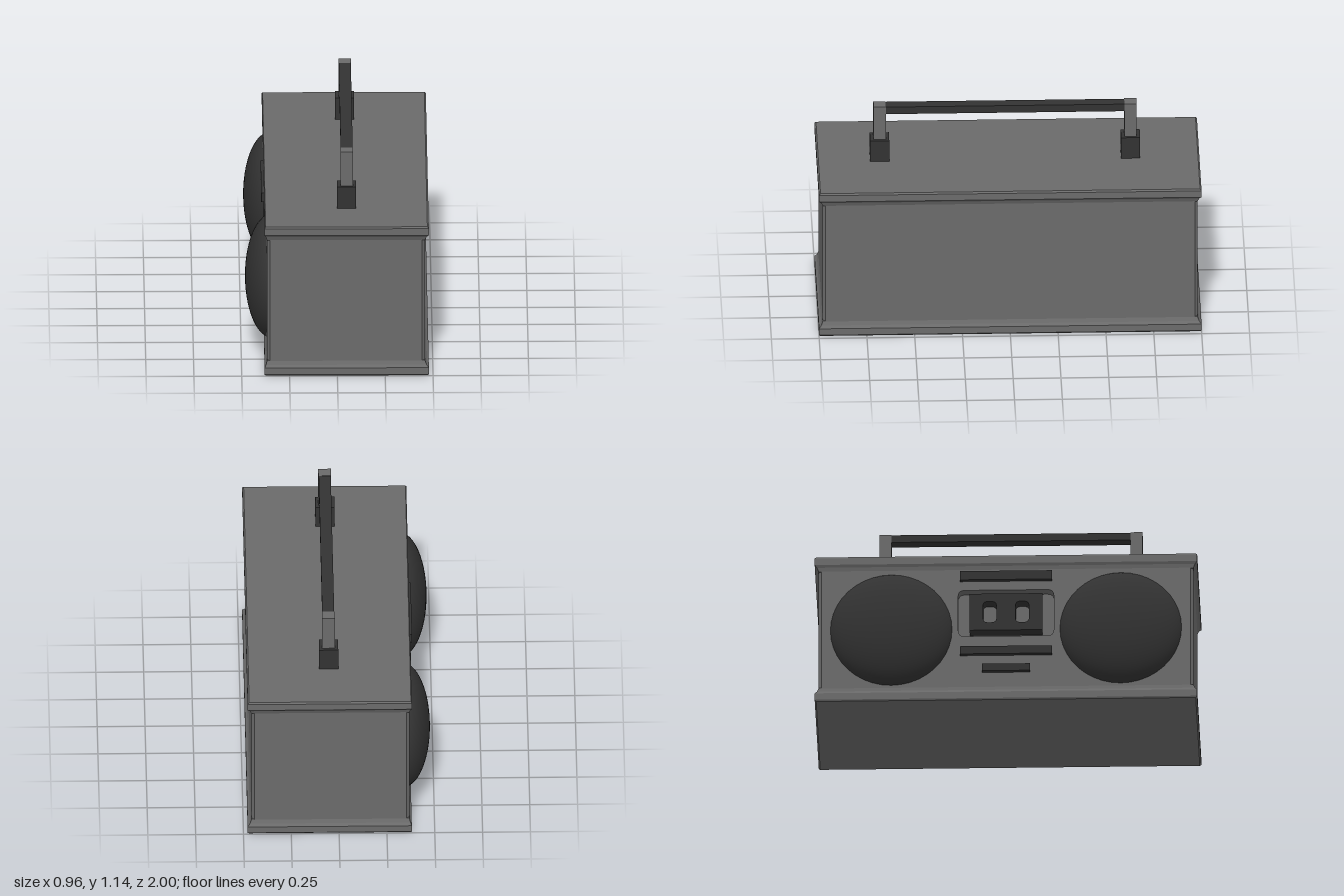
import * as THREE from 'three';

const grey = new THREE.MeshStandardMaterial({ color: 0x6a6a6a });
const dark = new THREE.MeshStandardMaterial({ color: 0x323232 });

const X0 = -0.38, X1 = 0.478, H = 0.83;
const FACE = -0.368; // speaker face of the cabinet

export function createModel() {
  const group = new THREE.Group();

  function add(name, geometry, material) {
    const mesh = new THREE.Mesh(geometry, material);
    mesh.name = name;
    group.add(mesh);
    return mesh;
  }

  // Box given by its lower and upper corners
  function box(name, material, [ax, ay, az], [bx, by, bz]) {
    const g = new THREE.BoxGeometry(bx - ax, by - ay, bz - az);
    g.translate((ax + bx) / 2, (ay + by) / 2, (az + bz) / 2);
    return add(name, g, material);
  }

  // Shape drawn in (z, y), extruded from x towards -x
  function extrudeFace(shape, x, depth) {
    const g = new THREE.ExtrudeGeometry(shape, { depth, bevelEnabled: false, curveSegments: 6 });
    return g.rotateY(-Math.PI / 2).translate(x, 0, 0);
  }

  function rect(target, a0, b0, a1, b1) {
    target.moveTo(a0, b0).lineTo(a1, b0).lineTo(a1, b1).lineTo(a0, b1).closePath();
    return target;
  }

  function roundRect(target, a0, b0, a1, b1, r) {
    target.moveTo(a0 + r, b0).lineTo(a1 - r, b0).quadraticCurveTo(a1, b0, a1, b0 + r);
    target.lineTo(a1, b1 - r).quadraticCurveTo(a1, b1, a1 - r, b1);
    target.lineTo(a0 + r, b1).quadraticCurveTo(a0, b1, a0, b1 - r);
    target.lineTo(a0, b0 + r).quadraticCurveTo(a0, b0, a0 + r, b0);
    return target;
  }

  // Rectangular slab from rings of [y, inset], lowest first
  function slab(rings) {
    const corners = rings.map(([y, i]) => [
      [X0 + i * 0.6, y, 1 - i], [X1 - i, y, 1 - i], [X1 - i, y, -1 + i], [X0 + i * 0.6, y, -1 + i],
    ]);
    const pos = [];
    const quad = (a, b, c, d) => pos.push(...a, ...b, ...c, ...a, ...c, ...d);
    for (let r = 0; r + 1 < corners.length; r++) {
      for (let k = 0; k < 4; k++) {
        const n = (k + 1) % 4;
        quad(corners[r][k], corners[r][n], corners[r + 1][n], corners[r + 1][k]);
      }
    }
    const low = corners[0], high = corners[corners.length - 1];
    quad(low[3], low[2], low[1], low[0]);
    quad(high[0], high[1], high[2], high[3]);
    const g = new THREE.BufferGeometry();
    g.setAttribute('position', new THREE.Float32BufferAttribute(pos, 3));
    g.computeVertexNormals();
    return g;
  }

  // Bottom and top slabs with eased edges that flare into the cabinet
  const profile = [[0, 0.008], [0.008, 0], [0.045, 0], [0.058, 0.012], [0.08, 0.021]];
  add('bottomSlab', slab(profile), grey);
  add('topSlab', slab(profile.map(([y, i]) => [H - y, i]).reverse()), grey);

  // Cabinet: chamfered plan with a notch behind the control panel
  const c = 0.015, bx = X1 - 0.02, bz = 0.98, n = 0.3, back = -0.31;
  const half = [[back, n], [FACE, n], [FACE, bz - c], [FACE + c, bz], [bx - c, bz], [bx, bz - c]];
  const plan = [...half, ...half.map(([x, z]) => [x, -z]).reverse()];
  const cabinet = new THREE.ExtrudeGeometry(
    new THREE.Shape(plan.map(([x, z]) => new THREE.Vector2(x, z))),
    { depth: H - 0.1, bevelEnabled: false });
  add('cabinet', cabinet.rotateX(-Math.PI / 2).translate(0, 0.05, 0), grey);

  // Control panel with the recessed cassette window
  const panel = rect(new THREE.Shape(), -n, 0.05, n, H - 0.05);
  panel.holes.push(roundRect(new THREE.Path(), -0.25, 0.37, 0.25, 0.635, 0.035));
  add('controlPanel', extrudeFace(panel, back, back - FACE), grey);

  // Cassette holder with two reel slots
  const holder = rect(new THREE.Shape(), -0.19, 0.4, 0.19, 0.61);
  for (const z of [-0.085, 0.085]) {
    holder.holes.push(roundRect(new THREE.Path(), z - 0.035, 0.445, z + 0.035, 0.565, 0.025));
  }
  add('cassetteHolder', extrudeFace(holder, back, 0.068), dark);

  // Raised strips above and below the window
  for (const [name, y, w, h] of [
    ['upperStrip', 0.71, 0.24, 0.025], ['lowerStrip', 0.28, 0.24, 0.022], ['buttonStrip', 0.18, 0.125, 0.02],
  ]) {
    box(name, dark, [-0.392, y - h, -w], [FACE + 0.01, y + h, w]);
  }

  for (const side of [1, -1]) {
    const prefix = side > 0 ? 'front' : 'rear';
    // Speaker dome
    const dome = new THREE.SphereGeometry(1, 40, 14, 0, Math.PI * 2, 0, Math.PI / 2);
    dome.rotateZ(Math.PI / 2).scale(0.14, 0.325, 0.325).translate(-0.34, 0.41, side * 0.6);
    add(prefix + 'SpeakerDome', dome, dark);

    // Handle socket and post
    const z = side > 0 ? 0.672 : -0.64;
    box(prefix + 'HandleSocket', dark, [0, H - 0.01, z - 0.05], [0.1, 0.95, z + 0.05]);
    box(prefix + 'HandlePost', grey, [0.018, 0.94, z - 0.032], [0.085, 1.14, z + 0.032]);
  }

  // Carrying bar between the posts
  box('handleBar', dark, [0.02, 1.097, -0.61], [0.083, 1.138, 0.642]);

  return group;
}
